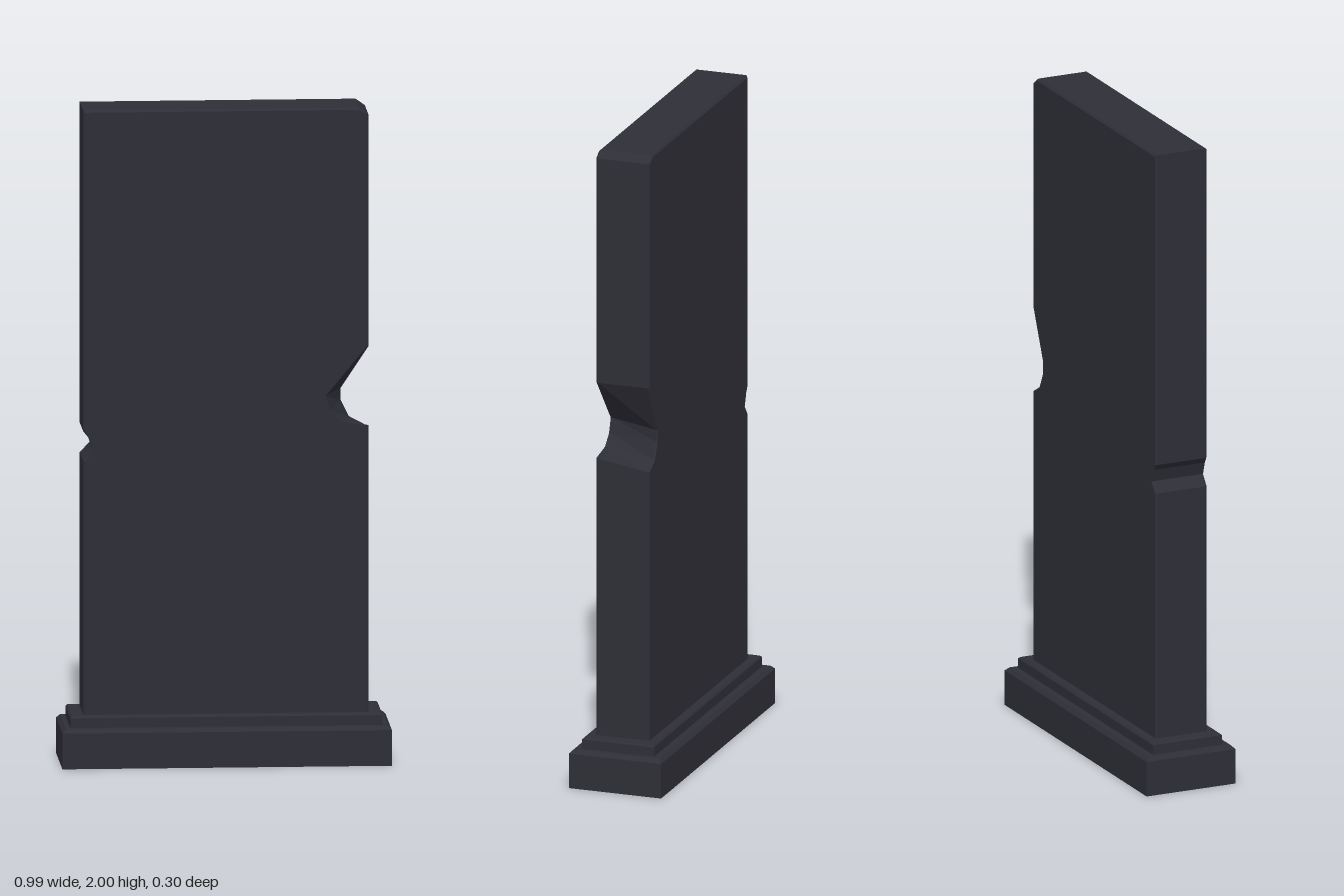
import * as THREE from 'three';

// Skin matching counter-clockwise rings of [x, y, z], ordered along +z, with flat end caps.
function loft(rings) {
  const n = rings[0].length;
  const positions = rings.flat(2);
  const index = [];
  for (let k = 0; k < rings.length - 1; k++) {
    for (let i = 0; i < n; i++) {
      const j = (i + 1) % n;
      const a = k * n + i, b = k * n + j, c = b + n, d = a + n;
      index.push(a, b, c, a, c, d);
    }
  }
  const cap = (ring) => THREE.ShapeUtils.triangulateShape(
    ring.map(([x, y]) => new THREE.Vector2(x, y)), []);
  const last = (rings.length - 1) * n;
  for (const [a, b, c] of cap(rings[0])) index.push(a, c, b);
  for (const [a, b, c] of cap(rings[rings.length - 1])) index.push(last + a, last + b, last + c);

  const indexed = new THREE.BufferGeometry();
  indexed.setAttribute('position', new THREE.Float32BufferAttribute(positions, 3));
  indexed.setIndex(index);
  const geometry = indexed.toNonIndexed();
  geometry.computeVertexNormals();
  return geometry;
}

// Rectangular plinth block with a chamfered top edge.
function plinthBlock(halfX, halfZ, bottom, top, bevel) {
  const ring = (y, inset) => {
    const x = halfX - inset, z = halfZ - inset;
    return [[-x, -z, y], [x, -z, y], [x, z, y], [-x, z, y]];
  };
  return loft([ring(bottom, 0), ring(top - bevel, 0), ring(top, bevel)]).rotateX(-Math.PI / 2);
}

// Upright slab with broken edges; each entry is front x, y and, where it differs, back x, y.
function slabGeometry() {
  const W = 0.43, D = 0.086, B = 0.006;
  const outline = [
    [-W, 0.15], [W, 0.15],
    // large chip on the left edge, deeper at the front
    [W, 1.03, W, 1.005], [0.35, 1.043, 0.382, 1.03], [0.315, 1.075, 0.357, 1.08],
    [0.30, 1.12, 0.357, 1.117], [W, 1.27],
    // clipped top corner
    [W, 1.98], [0.402, 2], [-W, 2],
    // small chip on the right edge
    [-W, 1.02], [-0.413, 1.0], [-0.40, 0.96], [-W, 0.93],
  ];
  const ring = (z, inset) => outline.map(([fx, fy, bx = fx, by = fy]) => {
    const x = z > 0 ? fx : bx, y = z > 0 ? fy : by;
    return [THREE.MathUtils.clamp(x, inset - W, W - inset), Math.min(y, 2 - inset), z];
  });
  return loft([ring(-D, B), ring(B - D, 0), ring(D - B, 0), ring(D, B)]);
}

export function createModel() {
  const group = new THREE.Group();
  group.name = 'stoneSlab';
  const stone = new THREE.MeshStandardMaterial({ color: 0x2e2e37 });
  stone.name = 'darkStone';

  const add = (name, geometry) => {
    const mesh = new THREE.Mesh(geometry, stone);
    mesh.name = name;
    group.add(mesh);
  };
  add('base', plinthBlock(0.497, 0.148, 0, 0.12, 0.011));
  add('step', plinthBlock(0.471, 0.115, 0.115, 0.155, 0.005));
  add('slab', slabGeometry());
  return group;
}
